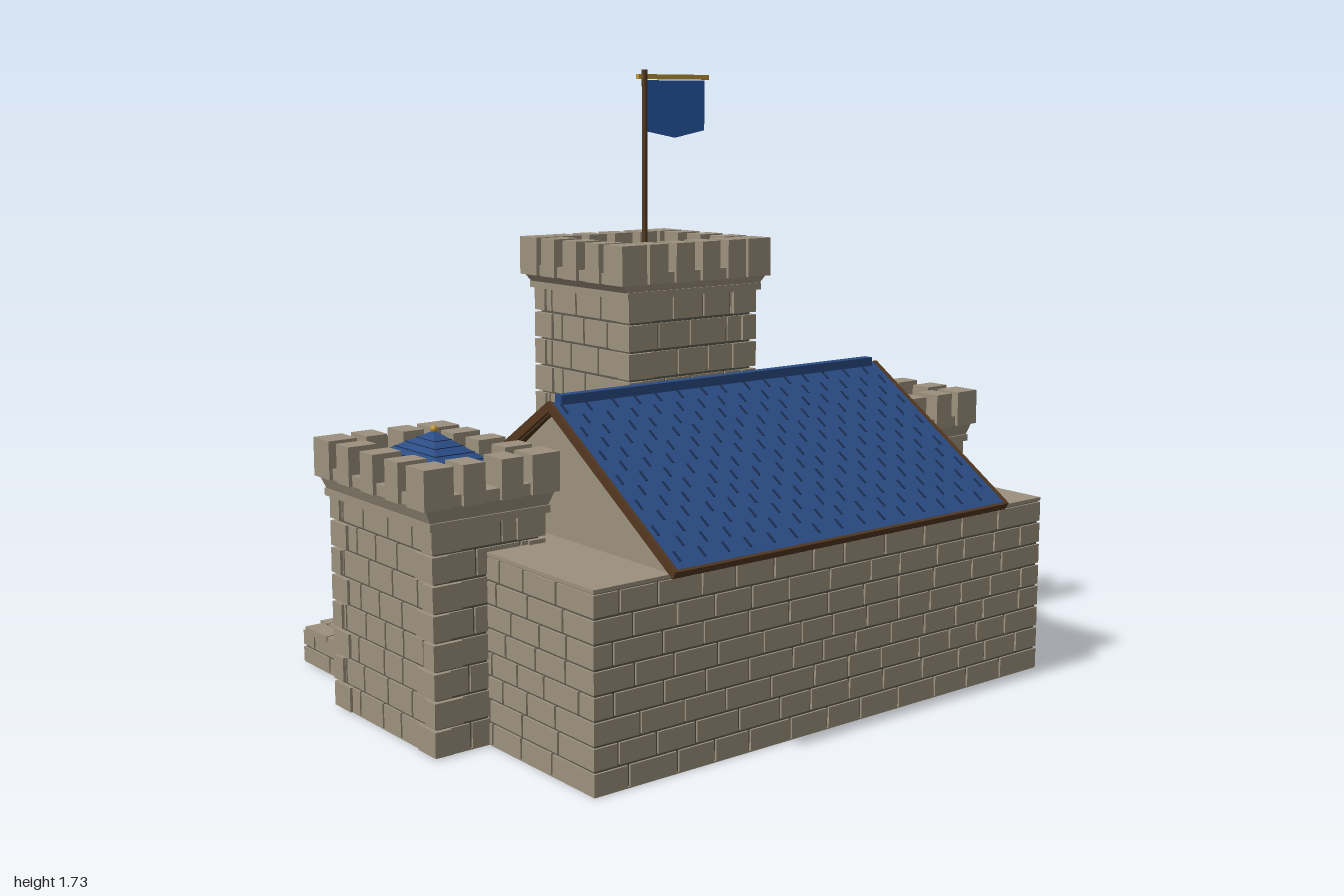
import * as THREE from 'three';
import { mergeGeometries } from 'three/addons/utils/BufferGeometryUtils.js';

const mat = (name, color) => Object.assign(new THREE.MeshStandardMaterial({ color }), { name });
const stone = mat('stone', 0x9c917e), mortar = mat('mortar', 0x5c5a4e);
const slate = mat('blue roof', 0x294b84), seam = mat('roof seam', 0x1b2f52);
const cloth = mat('blue cloth', 0x2a60b2), gold = mat('gold', 0xc4983a);
const timber = mat('dark timber', 0x543820), door = mat('door wood', 0x704526);
const iron = mat('iron', 0x302d29), fire = mat('flame red', 0xd03a14);

let seed = 7;
const rand = () => (seed = (seed * 16807) % 2147483647) / 2147483647;

const box = (w, h, d, x, y, z) => new THREE.BoxGeometry(w, h, d).translate(x, y, z);
const span = (x0, x1, y0, y1, z0, z1) =>
  box(x1 - x0, y1 - y0, z1 - z0, (x0 + x1) / 2, (y0 + y1) / 2, (z0 + z1) / 2);
const polygon = pts => new THREE.Shape(pts.map(p => new THREE.Vector2(...p)));

function add(parent, name, material, geos) {
  const mesh = new THREE.Mesh(Array.isArray(geos) ? mergeGeometries(geos) : geos, material);
  mesh.name = name;
  parent.add(mesh);
  return mesh;
}

function group(parent, name, x = 0, y = 0, z = 0) {
  const g = new THREE.Group();
  g.name = name;
  g.position.set(x, y, z);
  parent.add(g);
  return g;
}

// Box whose top differs in size from its foot
function flare(w, d, w2, d2, y0, y1) {
  const g = new THREE.BoxGeometry(w, y1 - y0, d).translate(0, (y0 + y1) / 2, 0), p = g.attributes.position;
  for (let i = 0; i < p.count; i++)
    if (p.getY(i) > (y0 + y1) / 2) p.setXYZ(i, p.getX(i) * w2 / w, y1, p.getZ(i) * d2 / d);
  g.computeVertexNormals();
  return g;
}

// Mortar core on a stone footing, with raised bricks on all four sides
function brickBlock(parent, name, w, h, d, rows, brickW) {
  const g = group(parent, name), bricks = [], gap = 0.0075, rh = h / rows;
  add(g, 'mortar core', mortar, span(-w / 2 + 0.006, w / 2 - 0.006, 0.004, h, -d / 2 + 0.006, d / 2 - 0.006));
  add(g, 'footing', stone, box(w - 0.004, 0.004, d - 0.004, 0, 0.002, 0));
  for (let side = 0; side < 4; side++) {
    const len = side % 2 ? d : w, off = (side % 2 ? w : d) / 2;
    for (let r = 0; r < rows; r++) {
      let x = -len / 2, first = r % 2 ? 0.5 : 1;
      while (x < len / 2 - 0.001) {
        let bw = brickW * first * (0.8 + 0.4 * rand());
        if (len / 2 - x - bw < brickW * 0.35) bw = len / 2 - x;
        const lo = x === -len / 2 ? 0 : gap / 2, hi = x + bw >= len / 2 - 0.001 ? 0 : gap / 2;
        bricks.push(span(x + lo, x + bw - hi, r * rh + gap / 2, (r + 1) * rh - gap / 2,
          off - 0.02, off).rotateY(side * Math.PI / 2));
        x += bw;
        first = 1;
      }
    }
  }
  add(g, 'bricks', stone, bricks);
  return g;
}

// Alternating long and short corner stones
function quoins(parent, w, d, h, rows) {
  const list = [], rh = h / rows;
  for (const sx of [-1, 1]) for (const sz of [-1, 1]) for (let r = 0; r < rows; r++) {
    const a = r % 2 ? 0.085 : 0.05, b = r % 2 ? 0.05 : 0.085;
    list.push(box(a, rh - 0.0075, b, sx * (w / 2 + 0.008 - a / 2), (r + 0.5) * rh, sz * (d / 2 + 0.008 - b / 2)));
  }
  add(parent, 'corner stones', stone, list);
}

// Flared cornice, parapet and merlons
function crown(parent, w, d, w2, d2, y0, y1, y2, nx, nz) {
  const g = group(parent, 'battlements'), t = 0.085, m = 0.065;
  add(g, 'cornice', stone, [flare(w + 0.02, d + 0.02, w2 - 0.02, d2 - 0.02, y0, y1 - 0.03),
    box(w + 0.035, 0.02, d + 0.035, 0, y0, 0)]);
  const list = [], H = y2 - y1 + 0.03, yc = (y1 - 0.03 + y2) / 2;
  for (const s of [-1, 1]) {
    list.push(box(w2 - 0.02, 0.03, t, 0, y1 - 0.015, s * (d2 / 2 - t / 2 - 0.01)));
    list.push(box(t, 0.03, d2 - 0.02, s * (w2 / 2 - t / 2 - 0.01), y1 - 0.015, 0));
    for (let i = 0; i < nx; i++) {
      const end = i === 0 || i === nx - 1, mw = end ? t : m;
      const x = end ? Math.sign(i - 0.5) * (w2 - t) / 2 : -w2 / 2 + m / 2 + i * (w2 - m) / (nx - 1);
      list.push(box(mw, H, t, x, yc, s * (d2 - t) / 2));
    }
    for (let i = 1; i < nz - 1; i++)
      list.push(box(t, H, m, s * (w2 - t) / 2, yc, -d2 / 2 + m / 2 + i * (d2 - m) / (nz - 1)));
  }
  add(g, 'merlons', stone, list);
}

// Round-headed outline, standing on y = 0
function arch(w, h, Type = THREE.Shape) {
  const s = new Type(), r = w / 2;
  s.moveTo(-r, 0);
  s.lineTo(r, 0);
  s.absarc(0, h - r, r, 0, Math.PI, false);
  s.closePath();
  return s;
}
const extrude = (shape, depth) => new THREE.ExtrudeGeometry(shape, { depth, bevelEnabled: false, curveSegments: 10 });

function archFrame(w, h, t, depth) {
  const s = arch(w + 2 * t, h + t);
  s.holes.push(arch(w, h, THREE.Path));
  return extrude(s, depth);
}

function windowAt(parent, x, y, z, w, h) {
  const g = group(parent, 'arched window', x, y, z);
  add(g, 'dark opening', iron, extrude(arch(w, h), 0.006));
  add(g, 'stone surround', stone, archFrame(w, h, 0.026, 0.025));
  add(g, 'sill', stone, box(w + 0.08, 0.022, 0.05, 0, -0.01, 0.02));
  add(g, 'mullion', stone, box(0.012, h, 0.016, 0, h / 2, 0.008));
}

// Hanging cloth with a pointed hem; top edge at y = 0
const clothShape = (x0, x1, h, dip) =>
  extrude(polygon([[x0, 0], [x0, -h], [(x0 + x1) / 2, -h - dip], [x1, -h], [x1, 0]]), 0.009);
function star(r) {
  const pts = [];
  for (let i = 0; i < 8; i++) {
    const a = i * Math.PI / 4, q = i % 2 ? r * 0.5 : r;
    pts.push([Math.sin(a) * q, Math.cos(a) * q * 1.25]);
  }
  return extrude(polygon(pts), 0.006);
}
const flame = (h, r) => new THREE.LatheGeometry(
  [[0, 0], [r * 0.6, 0.02 * h], [r, h * 0.3], [r * 0.5, h * 0.65], [0, h]].map(p => new THREE.Vector2(...p)), 6);

export function createModel() {
  const root = new THREE.Group();
  root.name = 'castle';

  // Great hall with gable ends
  const hall = brickBlock(root, 'hall walls', 1.6, 0.5, 0.95, 8, 0.13);
  hall.position.z = 0.295;
  add(root, 'hall coping', stone, span(-0.8, 0.8, 0.5, 0.51, -0.18, 0.77));
  const gable = polygon([[-0.77, 0.51], [0.17, 0.51], [-0.3, 0.85]]);
  add(root, 'gable', stone, extrude(gable, 1.13).translate(0, 0, -0.565).rotateY(Math.PI / 2));

  // Pitched roof, one slope mirrored to the other side
  const L = 0.625;
  for (const turn of [0, Math.PI]) {
    const side = group(root, 'roof side', 0, 0.87, 0.3);
    side.rotation.y = turn;
    const slope = group(side, 'roof slope');
    slope.rotation.x = Math.atan2(0.34, 0.52);
    add(slope, 'roof slab', slate, span(-0.588, 0.588, -0.016, 0, 0, L - 0.006));
    add(slope, 'barge boards', timber, [span(-0.597, -0.587, -0.02, 0.004, 0, L), span(0.587, 0.597, -0.02, 0.004, 0, L),
      span(-0.597, 0.597, -0.02, 0.002, L - 0.008, L), span(-0.58, 0.58, -0.02, -0.016, 0, L - 0.008)]);
    const dashes = [];
    for (let r = 0; r < 13; r++) for (let i = 0; i < 15; i++) {
      const x = -0.56 + i * 0.077 + (r % 2) * 0.038 + (rand() - 0.5) * 0.012;
      if (x < 0.575) dashes.push(box(0.006, 0.003, 0.034, x, 0.001, 0.03 + r * 0.0455));
    }
    add(slope, 'shingle seams', seam, dashes);
  }
  add(root, 'ridge cap', slate, box(1.13, 0.025, 0.03, 0, 0.875, 0.3));

  // Side towers
  for (const s of [-1, 1]) {
    const t = group(root, 'side tower', s * 0.795, 0, 0.06);
    brickBlock(t, 'tower walls', 0.325, 0.6, 0.51, 8, 0.115);
    quoins(t, 0.325, 0.51, 0.6, 8);
    crown(t, 0.325, 0.51, 0.405, 0.57, 0.6, 0.675, 0.75, 4, 5);
    add(t, 'tower roof', slate, [flare(0.22, 0.38, 0.004, 0.004, 0.695, 0.785), box(0.22, 0.05, 0.38, 0, 0.67, 0)]);
    const courses = [];
    for (let i = 0; i < 6; i++) {
      const k = 1 - i / 6.5;
      courses.push(box(0.22 * k + 0.003, 0.003, 0.38 * k + 0.003, 0, 0.695 + 0.09 * (1 - k), 0));
    }
    add(t, 'tower roof seams', seam, courses);
    add(t, 'roof finial', gold, new THREE.SphereGeometry(0.01, 8, 6).translate(0, 0.79, 0));
    const b = group(t, 'wall banner', 0, 0.59, -0.277);
    b.rotation.y = Math.PI;
    add(b, 'banner cloth', cloth, clothShape(-0.062, 0.062, 0.235, 0.025));
    add(b, 'banner rod', gold, box(0.15, 0.013, 0.02, 0, -0.006, 0.006));
    add(b, 'banner star', gold, star(0.042).translate(0, -0.115, 0.007));
  }

  // Keep
  const keep = group(root, 'keep', 0, 0, -0.06);
  brickBlock(keep, 'keep walls', 0.45, 1.11, 0.44, 14, 0.115);
  quoins(keep, 0.45, 0.44, 1.11, 14);
  crown(keep, 0.45, 0.44, 0.54, 0.495, 1.11, 1.17, 1.25, 6, 5);
  const low = polygon([[-0.17, 1.14], [0.17, 1.14], [0.17, 1.165], [0, 1.205], [-0.17, 1.165]]);
  add(keep, 'keep roof', slate, extrude(low, 0.38).translate(0, 0, -0.19).rotateY(Math.PI / 2));
  for (const s of [-1, 1]) {
    const half = group(keep, 'keep roof half', 0, 1.205, 0);
    half.rotation.x = s * Math.atan2(0.04, 0.17);
    const dashes = [];
    for (let r = 0; r < 4; r++) for (let i = 0; i < 6; i++)
      dashes.push(box(0.006, 0.004, 0.027, -0.16 + i * 0.056 + (r % 2) * 0.028, 0.001, s * (0.025 + r * 0.038)));
    add(half, 'keep roof seams', seam, dashes);
    add(half, 'keep roof edges', timber, [-0.192, 0.192].map(x => box(0.008, 0.014, 0.172, x, 0, s * 0.086)));
  }

  // Flag
  const flag = group(root, 'flag', 0, 0, -0.06);
  add(flag, 'flag pole', timber, new THREE.CylinderGeometry(0.008, 0.008, 0.54, 8).translate(0, 1.46, 0));
  add(flag, 'flag crossbar', gold, box(0.26, 0.014, 0.014, 0.11, 1.71, -0.006));
  add(flag, 'flag cloth', cloth, clothShape(0.008, 0.225, 0.145, 0.02).translate(0, 1.7, -0.01));
  add(flag, 'flag star', gold, star(0.048).translate(0.114, 1.62, -0.015));

  // Entrance front, built facing local +z and turned to the back
  const front = group(root, 'entrance front');
  front.rotation.y = Math.PI;
  const gate = group(front, 'gate', 0, 0.11, 0.28);
  add(gate, 'door leaf', door, extrude(arch(0.26, 0.36), 0.009));
  const planks = [];
  for (let i = -3; i <= 3; i++) planks.push(box(0.006, 0.33 - Math.abs(i) * 0.024, 0.006, i * 0.036, 0.165 - Math.abs(i) * 0.012, 0.01));
  add(gate, 'door joints', timber, planks);
  add(gate, 'door straps', iron, [0.07, 0.21].map(y => box(0.25, 0.012, 0.008, 0, y, 0.012)));
  add(gate, 'gate surround', stone, archFrame(0.26, 0.36, 0.04, 0.03));
  const joints = [];
  for (let i = 0; i <= 8; i++)
    joints.push(box(0.04, 0.006, 0.004, 0.15, 0, 0).rotateZ(i * Math.PI / 8).translate(0, 0.23, 0.03));
  for (const s of [-1, 1]) for (let i = 1; i < 4; i++) joints.push(box(0.04, 0.006, 0.004, s * 0.15, i * 0.057, 0.03));
  add(gate, 'surround joints', mortar, joints);
  windowAt(front, 0, 0.63, 0.28, 0.065, 0.135);
  windowAt(front, 0, 0.96, 0.28, 0.05, 0.1);
  for (const s of [-1, 1]) {
    windowAt(front, s * 0.46, 0.23, 0.18, 0.068, 0.15);
    const torch = group(front, 'wall torch', s * 0.25, 0, 0);
    add(torch, 'torch bracket', iron, [box(0.016, 0.016, 0.075, 0, 0, 0).rotateX(-0.5).translate(0, 0.235, 0.315),
      box(0.016, 0.07, 0.016, 0, 0.28, 0.347)]);
    add(torch, 'torch flame', fire, flame(0.06, 0.019).translate(0, 0.31, 0.347));
  }

  // Paved terrace with edge stones
  const terrace = brickBlock(front, 'terrace walls', 1.7, 0.1, 0.43, 2, 0.15);
  terrace.position.z = 0.395;
  const tiles = [span(-0.79, 0.79, 0.09, 0.111, 0.578, 0.62)];
  for (const s of [-1, 1]) for (let j = 0; j < 3; j++) tiles.push(box(0.056, 0.02, 0.128, s * 0.824, 0.101, 0.26 + j * 0.1345));
  for (let i = 0; i < 17; i++) for (let j = 0; j < 6; j++)
    tiles.push(box(0.0865, 0.012, 0.056, -0.744 + i * 0.093, 0.105, 0.234 + j * 0.0625));
  add(front, 'paving', stone, tiles);

  // Steps, cheek walls and lamp pillars
  const steps = [];
  for (let i = 0; i < 4; i++) steps.push(span(-0.28, 0.28, 0, 0.022 * (i + 1), 0.6, 0.83 - i * 0.055));
  add(front, 'steps', stone, steps);
  for (const s of [-1, 1]) {
    const cheek = brickBlock(front, 'step cheek', 0.12, 0.08, 0.205, 1, 0.1);
    cheek.position.set(s * 0.34, 0, 0.71);
    add(cheek, 'cheek rib', stone, box(0.02, 0.012, 0.19, 0, 0.083, 0));
    const pillar = group(front, 'lamp pillar', s * 0.34, 0, 0.56);
    add(pillar, 'pillar', stone, [box(0.08, 0.08, 0.08, 0, 0.145, 0), box(0.095, 0.018, 0.095, 0, 0.19, 0)]);
    add(pillar, 'pillar flame', fire, flame(0.075, 0.024).translate(0, 0.198, 0));
  }
  return root;
}
